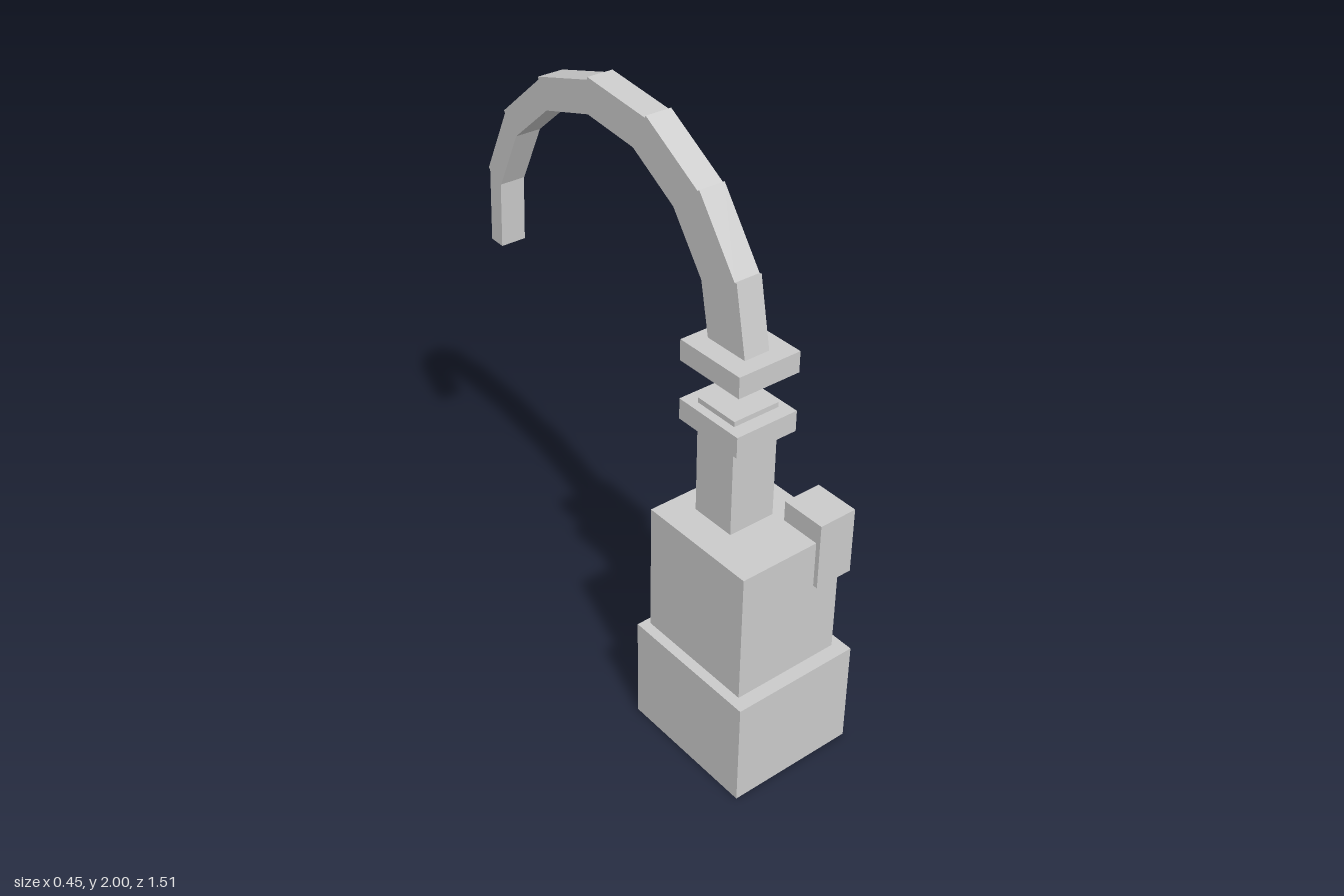
import * as THREE from 'three';

const material = new THREE.MeshStandardMaterial({ color: 0xcccccc, flatShading: true });

// Box given by its limits on each axis
function block(name, [x0, x1], [y0, y1], [z0, z1]) {
  const mesh = new THREE.Mesh(new THREE.BoxGeometry(x1 - x0, y1 - y0, z1 - z0), material);
  mesh.name = name;
  mesh.position.set((x0 + x1) / 2, (y0 + y1) / 2, (z0 + z1) / 2);
  return mesh;
}

// Curved arm: overlapping straight boxes that get thinner towards the tip
function createArm() {
  const arm = new THREE.Group();
  arm.name = 'curvedArm';
  const width = 0.09, lip = 0.008;
  // Outer edge as [z, y], and the thickness of each segment
  const outer = [[0.524, 1.355], [0.47, 1.625], [0.305, 1.84], [0.07, 1.975], [-0.2, 2.0],
    [-0.45, 1.92], [-0.645, 1.745], [-0.752, 1.51], [-0.756, 1.25]];
  const thickness = [0.156, 0.144, 0.129, 0.114, 0.102, 0.09, 0.077, 0.06];

  thickness.forEach((t, i) => {
    const end = new THREE.Vector2(...outer[i + 1]);
    const start = new THREE.Vector2(...outer[i]);
    const inward = (v) => new THREE.Vector2(-v.y, v.x);
    // Each segment starts a little inside the one before, leaving a small lip
    if (i > 0) start.addScaledVector(inward(end.clone().sub(start).normalize()), lip);
    const dir = end.clone().sub(start);
    const length = dir.length();
    dir.normalize();
    const centre = start.add(end).multiplyScalar(0.5).addScaledVector(inward(dir), t / 2);

    const segment = new THREE.Mesh(new THREE.BoxGeometry(width, t, length), material);
    segment.name = `armSegment${i + 1}`;
    segment.position.set(0, centre.y, centre.x);
    segment.rotation.x = Math.atan2(-dir.y, dir.x);
    arm.add(segment);
  });
  return arm;
}

export function createModel() {
  const model = new THREE.Group();
  model.name = 'model';
  model.add(
    // Stepped pedestal
    block('base', [-0.225, 0.225], [0, 0.365], [0.262, 0.756]),
    block('body', [-0.19, 0.19], [0.365, 0.815], [0.283, 0.708]),
    block('sideBlock', [0.09, 0.225], [0.655, 0.885], [0.568, 0.724]),
    // Neck and the two collars, with a gap between them
    block('neck', [-0.083, 0.083], [0.815, 1.217], [0.364, 0.524]),
    block('lowerCollar', [-0.112, 0.112], [1.13, 1.2], [0.315, 0.571]),
    block('upperCollar', [-0.112, 0.112], [1.33, 1.4], [0.315, 0.571]),
    createArm(),
  );
  return model;
}
